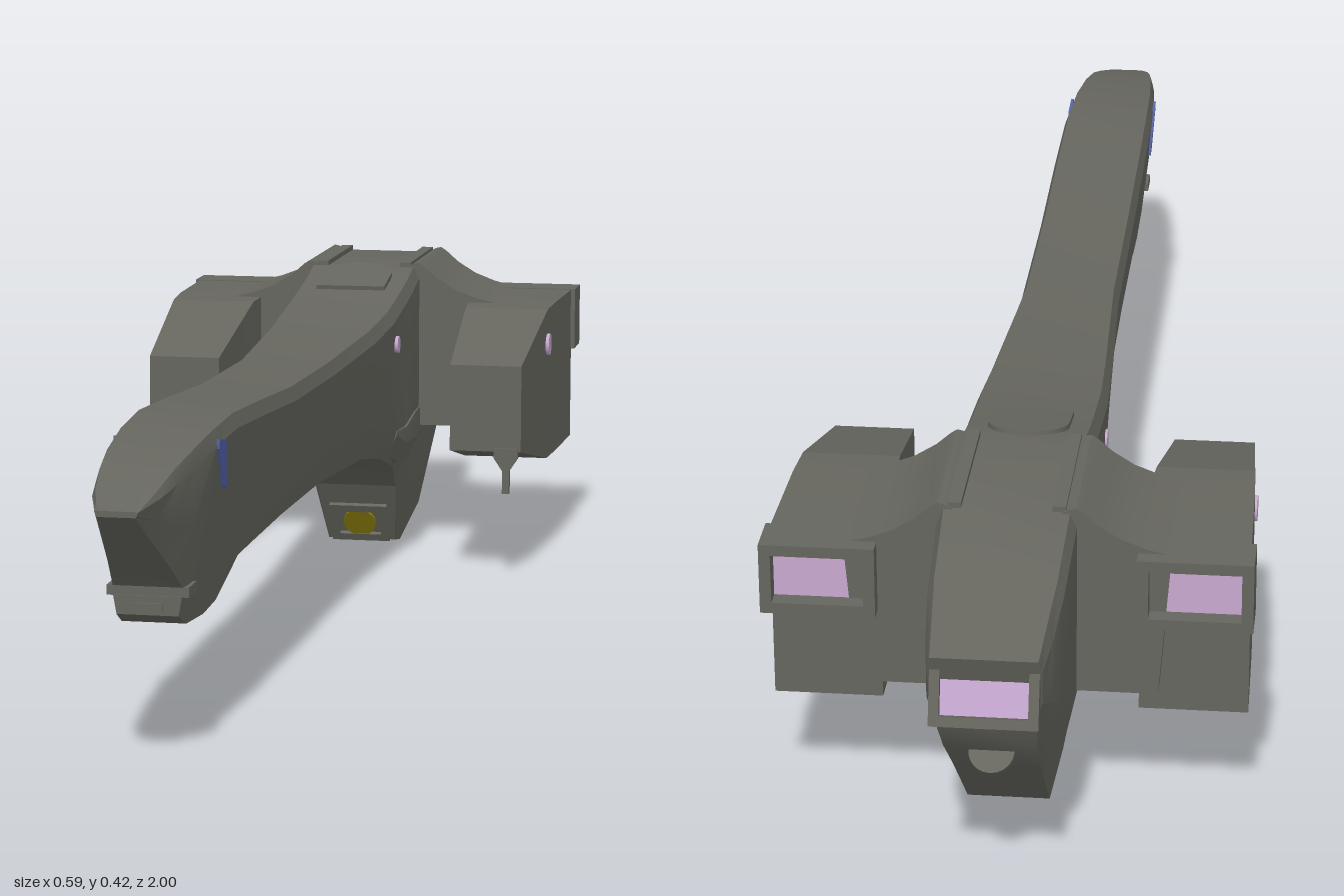
import * as THREE from 'three';
import { toCreasedNormals } from 'three/addons/utils/BufferGeometryUtils.js';

const mat = (name, color, side = THREE.FrontSide) => {
  const m = new THREE.MeshStandardMaterial({ color, side });
  m.name = name;
  return m;
};

// Skin over rings of [x, y, z], each counter-clockwise seen from +z, ordered front to back
function loft(rings, crease = 0.4) {
  const p = [], n = rings[0].length, last = rings[rings.length - 1];
  for (let i = 0; i < rings.length - 1; i++) {
    for (let j = 0; j < n; j++) {
      const k = (j + 1) % n;
      const a = rings[i][j], b = rings[i][k], c = rings[i + 1][k], d = rings[i + 1][j];
      p.push(...a, ...c, ...b, ...a, ...d, ...c);
    }
  }
  for (let j = 1; j < n - 1; j++) {
    p.push(...rings[0][0], ...rings[0][j], ...rings[0][j + 1]);
    p.push(...last[0], ...last[j + 1], ...last[j]);
  }
  const g = new THREE.BufferGeometry();
  g.setAttribute('position', new THREE.Float32BufferAttribute(p, 3));
  return toCreasedNormals(g, crease);
}

// Symmetric ring from the +x half, listed bottom to top
const symmetric = (half) => [...half, ...half.slice().reverse().map(([x, y, z]) => [-x, y, z])];

// Mirrored copy across x with the winding restored
function mirror(geo) {
  const g = geo.index ? geo.toNonIndexed() : geo.clone();
  g.scale(-1, 1, 1);
  for (const name of ['position', 'normal']) {
    const a = g.attributes[name];
    for (let i = 0; i < a.count; i += 3) {
      for (let c = 0; c < 3; c++) {
        const t = a.getComponent(i + 1, c);
        a.setComponent(i + 1, c, a.getComponent(i + 2, c));
        a.setComponent(i + 2, c, t);
      }
    }
  }
  return g;
}

const box = (w, h, d, x, y, z) => new THREE.BoxGeometry(w, h, d).translate(x, y, z);

const polygon = (pts) => new THREE.Shape(pts.map(([x, y]) => new THREE.Vector2(x, y)));

const extrude = (shape, depth) => new THREE.ExtrudeGeometry(shape, { depth, bevelEnabled: false });

// Rectangular frame with an opening, from z = 0 back to z = -depth
function frame(w, h, rim, depth) {
  const rect = (a, b) => [[-a, -b], [a, -b], [a, b], [-a, b]];
  const s = polygon(rect(w / 2, h / 2));
  s.holes.push(polygon(rect(w / 2 - rim, h / 2 - rim)));
  return extrude(s, depth).translate(0, 0, -depth);
}

export function createModel() {
  const grey = mat('hull grey', 0x66665f);
  const pink = mat('engine glow pink', 0xc8a8d0);
  const yellow = mat('sensor yellow', 0x887808);
  const blue = mat('marking blue', 0x5562a8, THREE.DoubleSide);
  const model = new THREE.Group();

  const add = (name, geo, material = grey) => {
    const m = new THREE.Mesh(geo, material);
    m.name = name;
    model.add(m);
    return m;
  };
  const addPair = (name, geo, material = grey) => {
    add('left' + name, geo, material);
    add('right' + name, mirror(geo), material);
  };

  // Long neck, body and keel: z, top, bottom, half width, bottom half width, flank height
  const hull = [
    [1, 0.329, 0.322, 0.025, 0.022, 0.324],
    [0.95, 0.345, 0.287, 0.04, 0.028, 0.31],
    [0.9, 0.36, 0.252, 0.048, 0.035, 0.29],
    [0.84, 0.371, 0.206, 0.055, 0.043, 0.28],
    [0.75, 0.382, 0.196, 0.061, 0.044, 0.28],
    [0.65, 0.387, 0.195, 0.064, 0.044, 0.28],
    [0.5, 0.379, 0.198, 0.065, 0.045, 0.28],
    [0.3, 0.366, 0.2, 0.065, 0.046, 0.27],
    [0.05, 0.361, 0.198, 0.066, 0.048, 0.26],
    [-0.2, 0.37, 0.187, 0.078, 0.058, 0.24],
    [-0.32, 0.381, 0.168, 0.083, 0.064, 0.21],
    [-0.43, 0.397, 0.138, 0.083, 0.063, 0.185],
    [-0.48, 0.406, 0.1, 0.083, 0.059, 0.18],
    [-0.53, 0.418, 0.01, 0.083, 0.05, 0.18],
    [-0.57, 0.418, 0.003, 0.083, 0.05, 0.18],
    [-0.74, 0.418, 0.03, 0.083, 0.05, 0.18],
    [-0.86, 0.387, 0.142, 0.079, 0.052, 0.225],
    [-0.93, 0.366, 0.208, 0.073, 0.055, 0.27],
  ];
  const rings = hull.map(([z, top, bot, w, wb, mid]) => {
    const c = Math.min(0.018, (top - bot) * 0.15);
    const wm = z < -0.4 ? w : w * 0.6 + wb * 0.4;
    return symmetric([[wb, bot, z], [wm, mid, z], [w, top - c, z], [w * 0.9, top, z]]);
  });
  // Slanted stern
  rings.push(symmetric([[0.058, 0.262, -0.955], [0.064, 0.285, -0.963],
    [0.066, 0.335, -0.979], [0.062, 0.35, -0.984]]));
  add('hull', loft(rings));

  // Stern engine: tilted frame around a glowing panel
  const sternPlace = (g) => g.rotateX(0.315).translate(0, 0.305, -0.969);
  add('sternEngineFrame', sternPlace(frame(0.126, 0.086, 0.012, 0.017)));
  add('sternEngineGlow', sternPlace(box(0.104, 0.064, 0.006, 0, 0, -0.005)), pink);
  add('sternPort', new THREE.CylinderGeometry(0.027, 0.027, 0.012, 20)
    .rotateX(-0.755).translate(0, 0.19, -0.912));

  // Chin under the nose: z, bottom, half width
  const chin = [[0.852, 0.18, 0.041], [0.82, 0.165, 0.043], [0.73, 0.158, 0.043],
    [0.66, 0.161, 0.043], [0.58, 0.178, 0.042], [0.5, 0.196, 0.04]];
  add('chin', loft(chin.map(([z, b, w]) => symmetric([[w * 0.9, b, z], [w, 0.203, z]]))));
  add('chinLip', box(0.098, 0.012, 0.04, 0, 0.208, 0.83));
  add('chinSlot', box(0.036, 0.009, 0.006, 0, 0.19, 0.852));
  add('bellyRail', box(0.05, 0.012, 0.8, 0, 0.196, 0.12));

  // Keel sensor on the sloping front face
  const keelPlace = (g) => g.rotateX(0.507).translate(0, 0.04, -0.513);
  add('sensorPlate', keelPlace(frame(0.086, 0.066, 0.012, 0.008).translate(0, 0, 0.006)));
  add('sensor', keelPlace(new THREE.CylinderGeometry(0.024, 0.024, 0.006, 20)
    .rotateX(Math.PI / 2).translate(0, 0, 0.002)), yellow);

  // Dorsal hatch with a rounded rear, lying on the sloping back
  const hatch = new THREE.Shape();
  hatch.moveTo(-0.05, 0);
  hatch.lineTo(0.05, 0);
  hatch.lineTo(0.05, 0.06);
  hatch.absarc(0, 0.06, 0.05, 0, Math.PI, false);
  add('dorsalHatch', extrude(hatch, 0.008).rotateX(-Math.PI / 2 + 0.2).translate(0, 0.395, -0.43));
  addPair('DorsalRail', box(0.016, 0.02, 0.2, 0.062, 0.415, -0.64));

  // Wing bridges curving from the back down to the engine pods
  const wing = polygon([[0.05, 0.183], [0.18, 0.183], [0.195, 0.368], [0.165, 0.3755],
    [0.135, 0.387], [0.108, 0.404], [0.09, 0.42], [0.082, 0.425], [0.074, 0.423], [0.05, 0.41]]);
  addPair('Wing', toCreasedNormals(extrude(wing, 0.203).translate(0, 0, -0.743), 0.5));

  // Hull-side cheek fairings ahead of the keel
  const cheek = [[-0.37, 0.165, 0.2, 0.08], [-0.42, 0.146, 0.2, 0.086],
    [-0.5, 0.142, 0.21, 0.086], [-0.58, 0.145, 0.21, 0.084]];
  addPair('Cheek', loft(cheek.map(([z, b, t, w]) =>
    [[0.05, b, z], [w - 0.013, b, z], [w, b + 0.03, z], [w, t, z], [0.05, t, z]])));

  // Engine pods: z, inner x, outer x, bottom, top
  const pod = [[-0.302, 0.168, 0.27, 0.187, 0.31], [-0.5, 0.159, 0.28, 0.146, 0.366],
    [-0.56, 0.155, 0.283, 0.146, 0.369], [-0.712, 0.155, 0.287, 0.146, 0.369]];
  addPair('Pod', loft(pod.map(([z, a, b, y0, y1]) =>
    [[a, y0, z], [b, y0, z], [b, y1, z], [a, y1, z]]), 0.1));
  addPair('PodEngineFrame', frame(0.138, 0.09, 0.014, 0.058).translate(0.224, 0.325, -0.706));
  addPair('PodEngineGlow', box(0.112, 0.064, 0.008, 0.224, 0.325, -0.738), pink);

  // Small gun blades under the pod fronts
  const blade = polygon([[-0.017, 0.192], [-0.017, 0.178], [-0.005, 0.16], [-0.005, 0.127],
    [0.005, 0.127], [0.005, 0.16], [0.017, 0.178], [0.017, 0.192]]);
  addPair('Gun', extrude(blade, 0.01).translate(0.249, 0, -0.308));

  // Side lights and nose markings
  const light = (r, x, y, z) => new THREE.CylinderGeometry(r, r, 0.006, 16)
    .rotateZ(Math.PI / 2).translate(x, y, z);
  addPair('PodLight', light(0.016, 0.281, 0.315, -0.5), pink);
  addPair('NeckLight', light(0.012, 0.083, 0.33, -0.35), pink);
  const stripe = loft([
    [[0.0595, 0.36, 0.75], [0.0635, 0.36, 0.75], [0.064, 0.372, 0.75], [0.06, 0.372, 0.75]],
    [[0.057, 0.31, 0.715], [0.061, 0.31, 0.715], [0.065, 0.365, 0.715], [0.061, 0.365, 0.715]],
    [[0.057, 0.305, 0.698], [0.061, 0.305, 0.698], [0.0615, 0.32, 0.698], [0.0575, 0.32, 0.698]],
  ]);
  addPair('NoseMarking', stripe, blue);

  return model;
}
